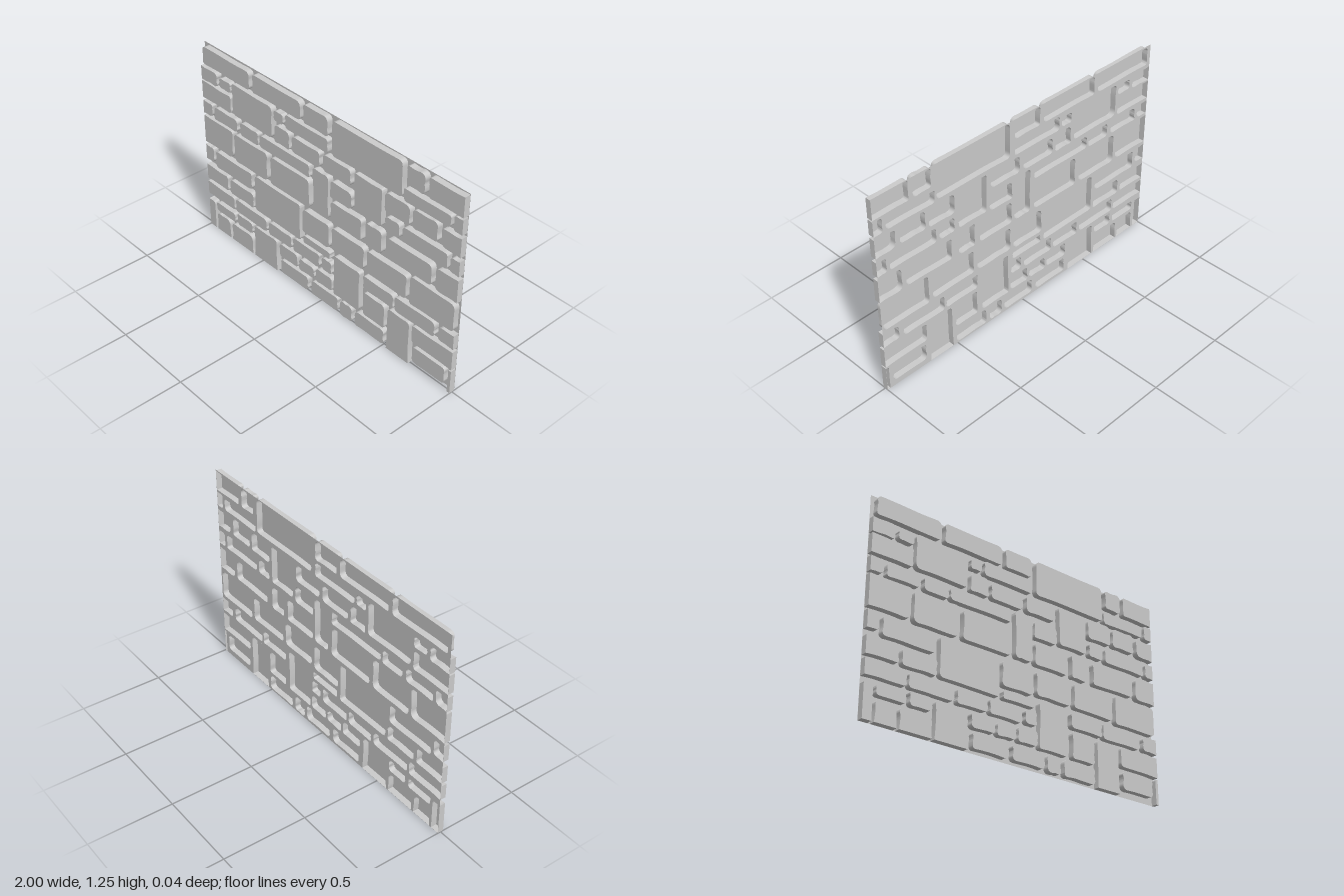
import * as THREE from 'three';
import { mergeGeometries, toCreasedNormals } from 'three/addons/utils/BufferGeometryUtils.js';

const HEIGHT = 1.245, DEPTH = 0.018, EDGE = 0.999;
const material = new THREE.MeshStandardMaterial({ color: 0xcccccc, side: THREE.DoubleSide });

// Small seeded generator for the hewn outlines
let seed = 7;
const rand = () => (seed = (seed * 16807) % 2147483647) / 2147483647;

// Irregular rounded outline inside a rectangle; sides on the wall's border stay straight
function stoneOutline(x0, x1, y0, y1) {
  const flat = [y0 <= 0, x1 >= 1, false, x0 <= -1];
  x0 = Math.max(x0, -EDGE); x1 = Math.min(x1, EDGE); y0 = Math.max(y0, 0.001);
  const size = Math.min(x1 - x0, y1 - y0);
  const wobble = Math.min(0.006, size * 0.06);
  const corners = [[x0, y0], [x1, y0], [x1, y1], [x0, y1]].map(([x, y], i) => {
    const px = flat[i % 2 ? 1 : 3] && (i === 1), nearFlat = flat[i] || flat[(i + 3) % 4];
    const slip = () => (nearFlat || px ? 0 : rand() * wobble);
    const sx = i === 0 || i === 3 ? 1 : -1, sy = i < 2 ? 1 : -1;
    return {
      p: new THREE.Vector2(x + sx * slip(), y + sy * slip()),
      r: nearFlat ? 0 : Math.min(size * 0.3, 0.014 + rand() * 0.02),
    };
  });
  const shape = new THREE.Shape();
  corners.forEach((a, i) => {
    const b = corners[(i + 1) % 4], c = corners[(i + 2) % 4];
    const dir = b.p.clone().sub(a.p).normalize();
    const inward = new THREE.Vector2(-dir.y, dir.x);
    const start = a.p.clone().addScaledVector(dir, a.r);
    const end = b.p.clone().addScaledVector(dir, -b.r);
    if (i === 0) shape.moveTo(start.x, start.y);
    if (flat[i]) shape.lineTo(end.x, end.y);
    else {
      const mids = [0.3, 0.68].map((t) =>
        start.clone().lerp(end, t).addScaledVector(inward, rand() * wobble * 0.7));
      shape.splineThru([...mids, end]);
    }
    if (b.r) {
      const next = c.p.clone().sub(b.p).normalize().multiplyScalar(b.r).add(b.p);
      shape.quadraticCurveTo(b.p.x, b.p.y, next.x, next.y);
    }
  });
  return shape;
}

// Hollow stone: a front face and a rim running back to the mortar
function stoneGeometry(shape) {
  const face = new THREE.ShapeGeometry(shape, 4).toNonIndexed();
  face.translate(0, 0, DEPTH);
  face.deleteAttribute('uv');
  const pts = shape.getPoints(4), pos = [];
  pts.forEach((a, i) => {
    const b = pts[(i + 1) % pts.length];
    if (a.distanceTo(b) < 1e-6) return;
    pos.push(a.x, a.y, -DEPTH, b.x, b.y, -DEPTH, b.x, b.y, DEPTH);
    pos.push(a.x, a.y, -DEPTH, b.x, b.y, DEPTH, a.x, a.y, DEPTH);
  });
  const rim = new THREE.BufferGeometry();
  rim.setAttribute('position', new THREE.Float32BufferAttribute(pos, 3));
  rim.computeVertexNormals();
  return mergeGeometries([face, toCreasedNormals(rim, 0.7)]);
}

export function createModel() {
  seed = 7;
  const wall = new THREE.Group();
  wall.name = 'stoneWall';
  const mortarShape = new THREE.Shape([[-1, 0], [1, 0], [1, HEIGHT], [-1, HEIGHT]]
    .map(([x, y]) => new THREE.Vector2(x, y)));

  // One course of stones, each [left, right, bottom, top] in hundredths
  function course(name, ...stones) {
    const group = new THREE.Group();
    group.name = name;
    for (const s of stones) {
      const shape = stoneOutline(...s.map((v) => v / 100));
      mortarShape.holes.push(shape);
      const mesh = new THREE.Mesh(stoneGeometry(shape), material);
      mesh.name = 'stone';
      group.add(mesh);
    }
    wall.add(group);
  }

  course('topCourse', [-98, -57, 112, 124], [-55, -15, 112, 124], [-13, 6, 112, 124],
    [9, 60, 102.5, 124.3], [62.5, 75, 112, 124], [77, 100, 112, 124]);
  course('upperCourse', [-100, -85.5, 102, 110.5], [-84, -74, 103, 109.5], [-73, -38.5, 90, 110.5],
    [-37, -29, 103, 109.5], [-28, 6, 102, 111], [60.8, 92.5, 102, 109.5], [94, 100, 102, 111]);
  course('thirdCourse', [-100, -74, 90, 101], [-37, -24.5, 89.5, 101], [-23, 0, 89.5, 100.5],
    [2, 23.5, 90, 101], [26, 46.5, 77, 101], [48, 66, 88.5, 101], [67.5, 85, 89, 101],
    [87, 100, 88.5, 100]);
  course('fourthCourse', [-100, -91.5, 79.5, 88], [-90, -69, 79.5, 88], [-67, -51, 79.5, 88],
    [-50, -8.5, 79.5, 88], [-6, 7, 60, 88.5], [7.7, 24.5, 76, 87], [48.5, 59.5, 77, 86.5],
    [61, 92, 77, 86.5], [93.5, 100, 77, 86]);
  course('fifthCourse', [-100, -74, 60, 78], [-73, -43.5, 59.5, 78], [-41.5, -8.5, 59.5, 78],
    [8, 32, 60, 74], [35, 47, 60, 74.5], [51, 82.5, 60.5, 74], [84.5, 100, 60.5, 74.5]);
  course('middleCourse', [-100, -92.5, 48, 58], [-91, -58, 46, 57.5], [-55.5, -16.5, 34, 58],
    [-15, 7.5, 41, 57], [9, 34.5, 42, 57], [36.5, 66, 42, 57], [68, 99, 41, 59]);
  course('seventhCourse', [-100, -80, 34, 44], [-78.5, -57, 34, 44], [-14, 8, 34, 39],
    [11, 31.5, 12, 39], [34, 57, 30, 39], [58, 87, 29.5, 39.5], [89, 100, 30, 39]);
  course('eighthCourse', [-100, -75, 23, 32], [-74, -45.5, 23, 32], [-44, -24, 23, 32],
    [-23, -0.5, 23, 32.5], [1, 9.5, 24, 32.5]);
  course('lowerCourse', [-100, -94.5, 0, 19], [-93, -75, 14, 20], [-73, -59, 14, 22],
    [-57.5, -37, 0, 22], [-35, -19, 12.5, 21.5], [-18, -5, 12.5, 20.5], [-4, 10, 12.5, 22],
    [34.5, 51, 12, 28], [53, 69.5, 0, 28], [71, 100, 16, 28]);
  course('bottomCourse', [-93, -80, 0, 12.5], [-78.5, -59, 0, 12.5], [-34, -10, 1, 11],
    [-7.5, 14.5, 1, 11], [16, 26, 0.5, 11], [28, 51, 0.5, 11], [72, 95.5, 3, 14],
    [98, 100, 0, 15]);

  // Thin mortar sheet at the back, open behind every stone
  const mortar = new THREE.Mesh(new THREE.ShapeGeometry(mortarShape, 4), material);
  mortar.position.z = -DEPTH;
  mortar.name = 'mortar';
  wall.add(mortar);
  return wall;
}
